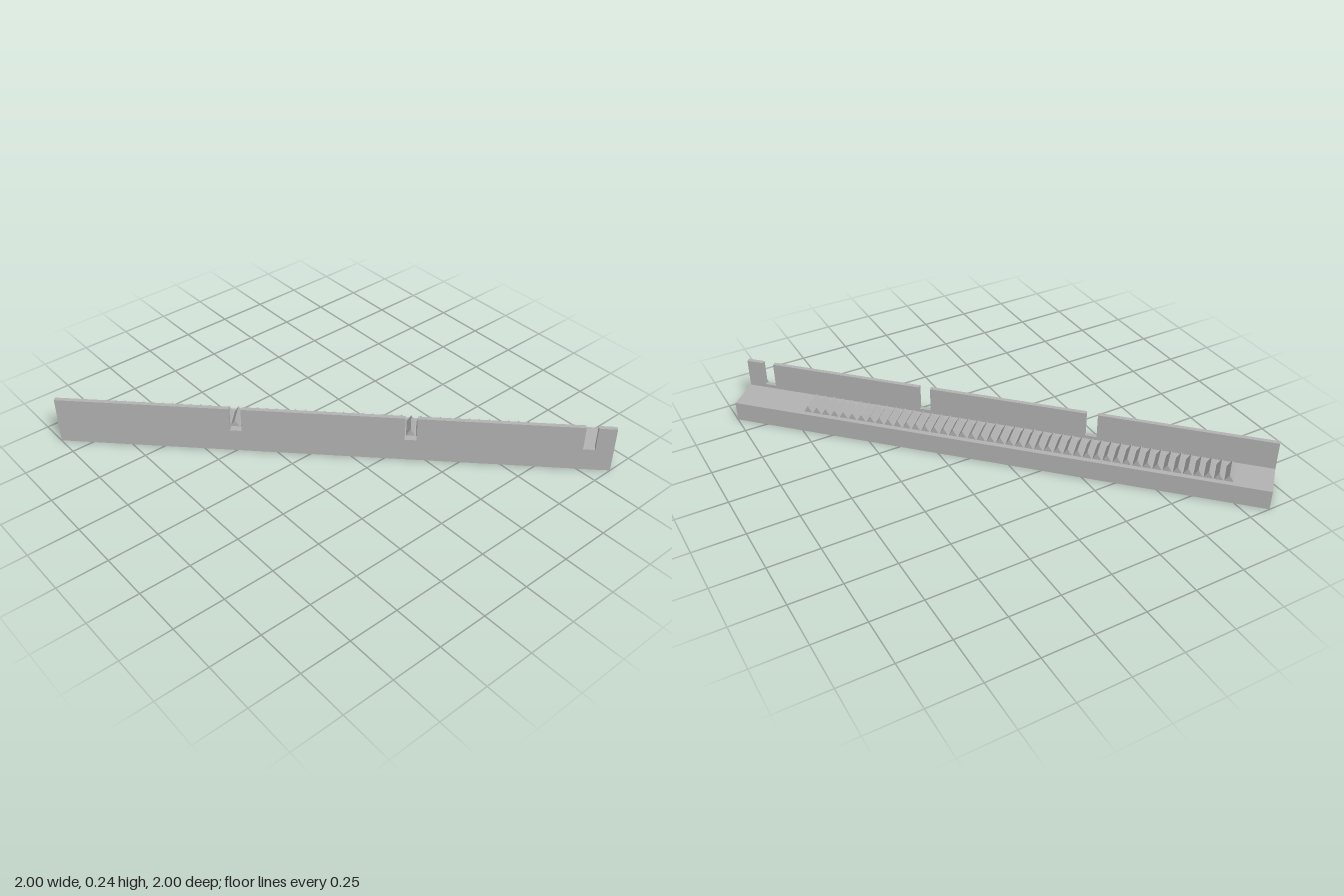
import * as THREE from 'three';

const HALF = 1.316;      // half length of the bar
const SIDE = 0.098;      // half width of the bar
const BASE_H = 0.1;
const WALL_H = 0.243;
const WALL_T = 0.021;

export function createModel() {
  const grey = new THREE.MeshStandardMaterial({ color: 0xb2b2b2 });
  grey.name = 'grey';
  const group = new THREE.Group();
  group.name = 'toothedRail';

  const add = (name, geometry, parent = group) => {
    const mesh = new THREE.Mesh(geometry, grey);
    mesh.name = name;
    parent.add(mesh);
    return mesh;
  };

  // Base bar: rectangular section with two bores running along its length
  const section = new THREE.Shape();
  section.moveTo(-SIDE, 0).lineTo(SIDE, 0).lineTo(SIDE, BASE_H).lineTo(-SIDE, BASE_H).closePath();
  for (const z of [-0.045, 0.0125]) {
    const hole = new THREE.Path();
    hole.absarc(-z, 0.045, 0.027, 0, Math.PI * 2, true);
    section.holes.push(hole);
  }
  const base = new THREE.ExtrudeGeometry(section, { depth: HALF * 2, bevelEnabled: false, curveSegments: 16 });
  base.translate(0, 0, -HALF).rotateY(Math.PI / 2);
  add('baseBar', base);

  // Thin upright wall with three notches cut from its top edge
  const outline = new THREE.Shape();
  outline.moveTo(-HALF, BASE_H).lineTo(HALF, BASE_H).lineTo(HALF, WALL_H);
  for (const u of [1.175, 0.347, -0.481]) {
    outline.lineTo(u + 0.056, WALL_H).lineTo(u + 0.056, 0.118).lineTo(u, 0.118).lineTo(u, WALL_H);
  }
  outline.lineTo(-HALF, WALL_H).closePath();
  const wall = new THREE.ExtrudeGeometry(outline, { depth: WALL_T, bevelEnabled: false });
  wall.translate(0, 0, SIDE - WALL_T);
  add('notchedWall', wall);

  // Row of triangular rack teeth
  const teeth = new THREE.Group();
  teeth.name = 'rackTeeth';
  group.add(teeth);
  const count = 45, start = -1.143, end = 0.957, pitch = (end - start) / count;
  const tooth = new THREE.Shape();
  tooth.moveTo(-0.021, 0).lineTo(0.021, 0).lineTo(0, 0.035).closePath();
  const toothGeometry = new THREE.ExtrudeGeometry(tooth, { depth: 0.114, bevelEnabled: false });
  for (let i = 0; i < count; i++) {
    add('tooth', toothGeometry, teeth).position.set(start + (i + 0.5) * pitch, BASE_H, -0.073);
  }

  // The rail lies along the diagonal
  group.rotation.y = Math.PI / 4;
  const model = new THREE.Group();
  model.name = 'model';
  model.add(group);
  return model;
}
